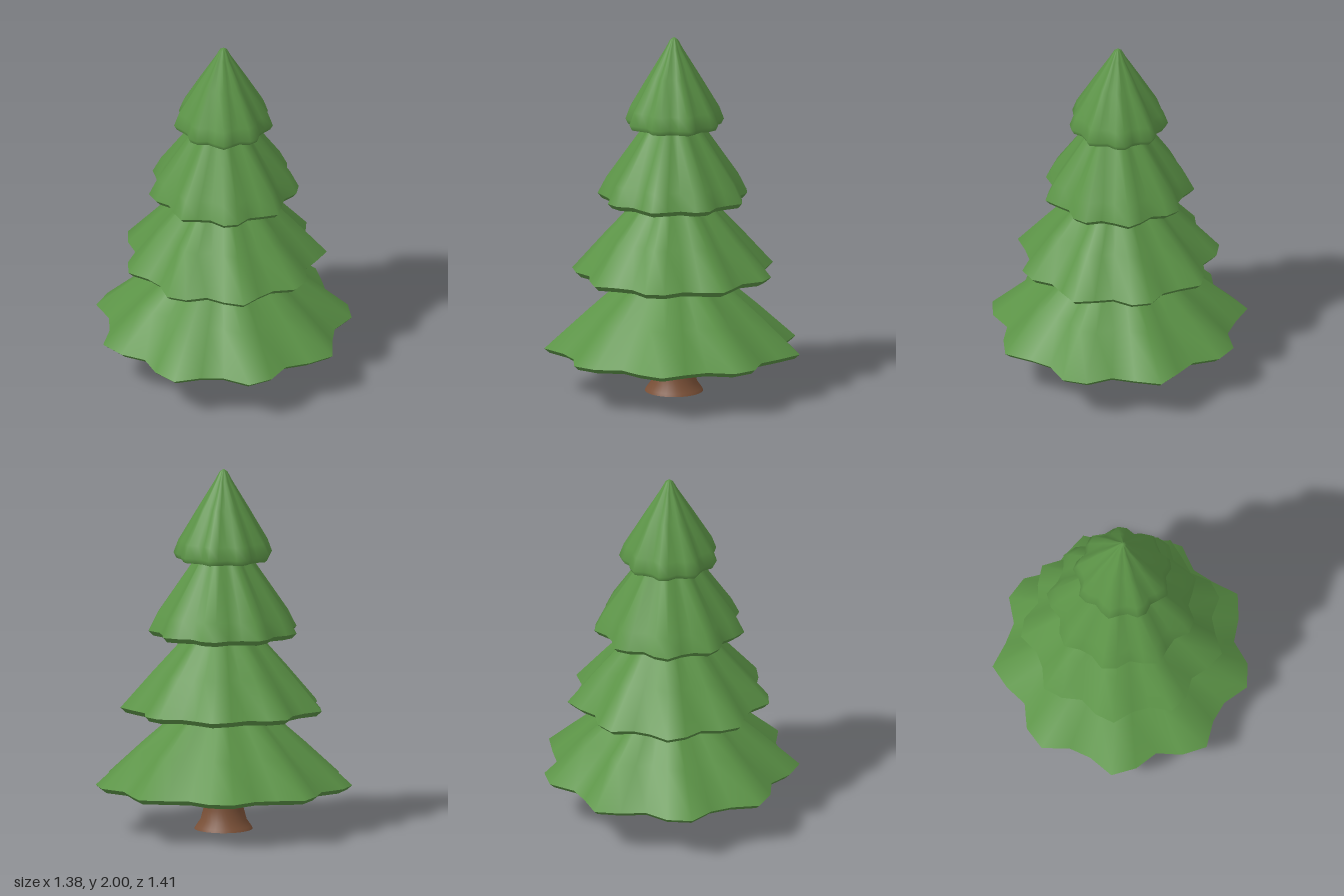
import * as THREE from 'three';
import { mergeVertices } from 'three/addons/utils/BufferGeometryUtils.js';

const SEGMENTS = 32;
const LOBES = 9;
const WAVE = 0.08;

function material(name, color) {
  const m = new THREE.MeshStandardMaterial({ color });
  m.name = name;
  return m;
}
const foliage = material('foliage green', 0x5c9447);
const shade = material('underside dark green', 0x385c34);
const bark = material('bark brown', 0x7a5037);
const cutWood = material('trunk base dark brown', 0x543a2b);

// Smooth, seamless lathed surface; the radius ripples around the axis by the given amount
function turned(name, mat, profile, wave = 0, phaseDegrees = 0) {
  const lathe = new THREE.LatheGeometry(profile.map(([r, y]) => new THREE.Vector2(r, y)), SEGMENTS);
  const phase = THREE.MathUtils.degToRad(phaseDegrees);
  const pos = lathe.attributes.position;
  for (let i = 0; i < pos.count; i++) {
    const x = pos.getX(i), z = pos.getZ(i);
    const k = 1 + wave * Math.cos(LOBES * (Math.atan2(z, x) - phase));
    pos.setX(i, x * k);
    pos.setZ(i, z * k);
  }
  lathe.deleteAttribute('uv');
  lathe.deleteAttribute('normal');
  const geometry = mergeVertices(lathe);
  geometry.computeVertexNormals();
  const mesh = new THREE.Mesh(geometry, mat);
  mesh.name = name;
  return mesh;
}

// One tier of branches: sloping top, bevelled rim and a shallow hollow underside
function makeTier({ name, rim, bottom, slope, softRim }, phase) {
  const tier = new THREE.Group();
  tier.name = name;
  if (softRim) {
    tier.add(turned('branches', foliage, [bottom, rim, ...slope], WAVE, phase));
  } else {
    tier.add(turned('branches', foliage, [rim, ...slope], WAVE, phase));
    tier.add(turned('rim', foliage, [bottom, rim], WAVE, phase));
  }
  tier.add(turned('underside', shade, [[0, bottom[1] + 0.065], bottom], WAVE, phase));
  return tier;
}

export function createModel() {
  const tree = new THREE.Group();
  tree.name = 'pineTree';

  // Trunk with a flared foot
  tree.add(turned('trunk', bark, [
    [0.16, 0], [0.152, 0.015], [0.127, 0.05], [0.111, 0.11], [0.105, 0.17], [0.105, 0.32],
  ]));
  tree.add(turned('trunkBase', cutWood, [[0, 0], [0.16, 0]]));

  // Four tiers, each turned a little further
  const tiers = [
    { name: 'bottomTier', bottom: [0.638, 0.228], rim: [0.665, 0.253],
      slope: [[0.46, 0.45], [0.24, 0.65], [0.16, 0.73]] },
    { name: 'lowerTier', bottom: [0.498, 0.652], rim: [0.525, 0.68],
      slope: [[0.36, 0.88], [0.188, 1.08], [0.12, 1.16]] },
    { name: 'upperTier', bottom: [0.367, 1.078], rim: [0.39, 1.105],
      slope: [[0.345, 1.2], [0.15, 1.5], [0.1, 1.58]] },
    { name: 'topTier', bottom: [0.242, 1.502], rim: [0.256, 1.53], softRim: true,
      slope: [[0.232, 1.6], [0.13, 1.785], [0.045, 1.935], [0.02, 1.985], [0, 2]] },
  ];
  tiers.forEach((tier, i) => tree.add(makeTier(tier, i * 5)));

  // The uneven bottom tier shifts the axis slightly off centre
  tree.position.x = -0.03;
  const model = new THREE.Group();
  model.add(tree);
  return model;
}
